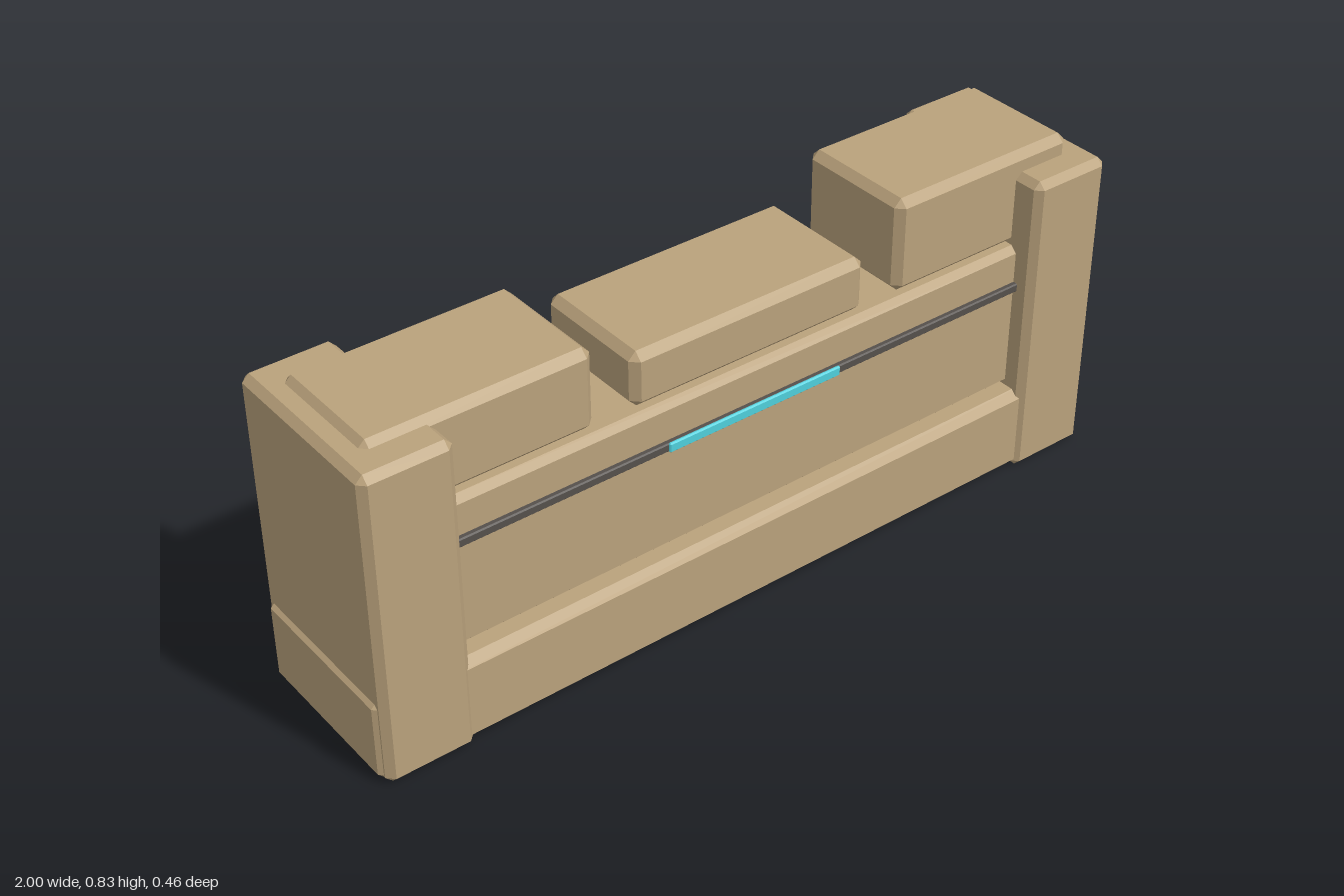
import * as THREE from 'three';
import { ConvexGeometry } from 'three/addons/geometries/ConvexGeometry.js';

const sand = new THREE.MeshStandardMaterial({ color: 0xbaa27c });
sand.name = 'sand';
const darkGrey = new THREE.MeshStandardMaterial({ color: 0x55504c });
darkGrey.name = 'dark grey';
const cyan = new THREE.MeshStandardMaterial({ color: 0x4fd0dc });
cyan.name = 'cyan';

// Box between two corners with every edge bevelled by c
function bevelBox(name, material, min, max, c) {
  const center = min.map((v, i) => (v + max[i]) / 2);
  const half = min.map((v, i) => (max[i] - v) / 2);
  const points = [];
  for (const sx of [-1, 1]) for (const sy of [-1, 1]) for (const sz of [-1, 1]) {
    for (let axis = 0; axis < 3; axis++) {
      const p = [sx, sy, sz].map((s, i) => s * (half[i] - (i === axis ? 0 : c)));
      points.push(new THREE.Vector3(...p));
    }
  }
  const mesh = new THREE.Mesh(new ConvexGeometry(points), material);
  mesh.position.set(...center);
  mesh.name = name;
  return mesh;
}

export function createModel() {
  const model = new THREE.Group();
  model.name = 'barricade';

  // Long foot and the recessed wall standing on it
  model.add(bevelBox('base', sand, [-1, 0.002, -0.22], [1, 0.22, 0.22], 0.02));
  model.add(bevelBox('wall', sand, [-0.8, 0.22, -0.175], [0.8, 0.6, 0.175], 0.016));

  // End pillars
  for (const s of [-1, 1]) {
    const x = [s * 0.775, s * 0.991].sort((a, b) => a - b);
    model.add(bevelBox(s > 0 ? 'leftPillar' : 'rightPillar', sand,
      [x[0], 0, -0.23], [x[1], 0.785, 0.23], 0.017));
  }

  // Cover blocks on top: x start, x end, top height
  const blocks = [[-0.94, -0.396, 0.8], [-0.3, 0.33, 0.735], [0.422, 0.936, 0.834]];
  blocks.forEach(([x0, x1, top], i) => {
    model.add(bevelBox('topBlock' + (i + 1), sand,
      [x0, 0.599, -0.156], [x1, top, 0.156], 0.019));
  });

  // Dark trim strip with a glowing inset on both faces
  for (const s of [-1, 1]) {
    const side = s > 0 ? 'front' : 'back';
    const span = (a, b) => [s * a, s * b].sort((m, n) => m - n);
    const t = span(0.17, 0.187);
    model.add(bevelBox(side + 'Trim', darkGrey, [-0.785, 0.486, t[0]], [0.785, 0.508, t[1]], 0.003));
    const l = span(0.183, 0.192);
    model.add(bevelBox(side + 'Light', cyan, [-0.235, 0.485, l[0]], [0.235, 0.509, l[1]], 0.003));
  }
  return model;
}
